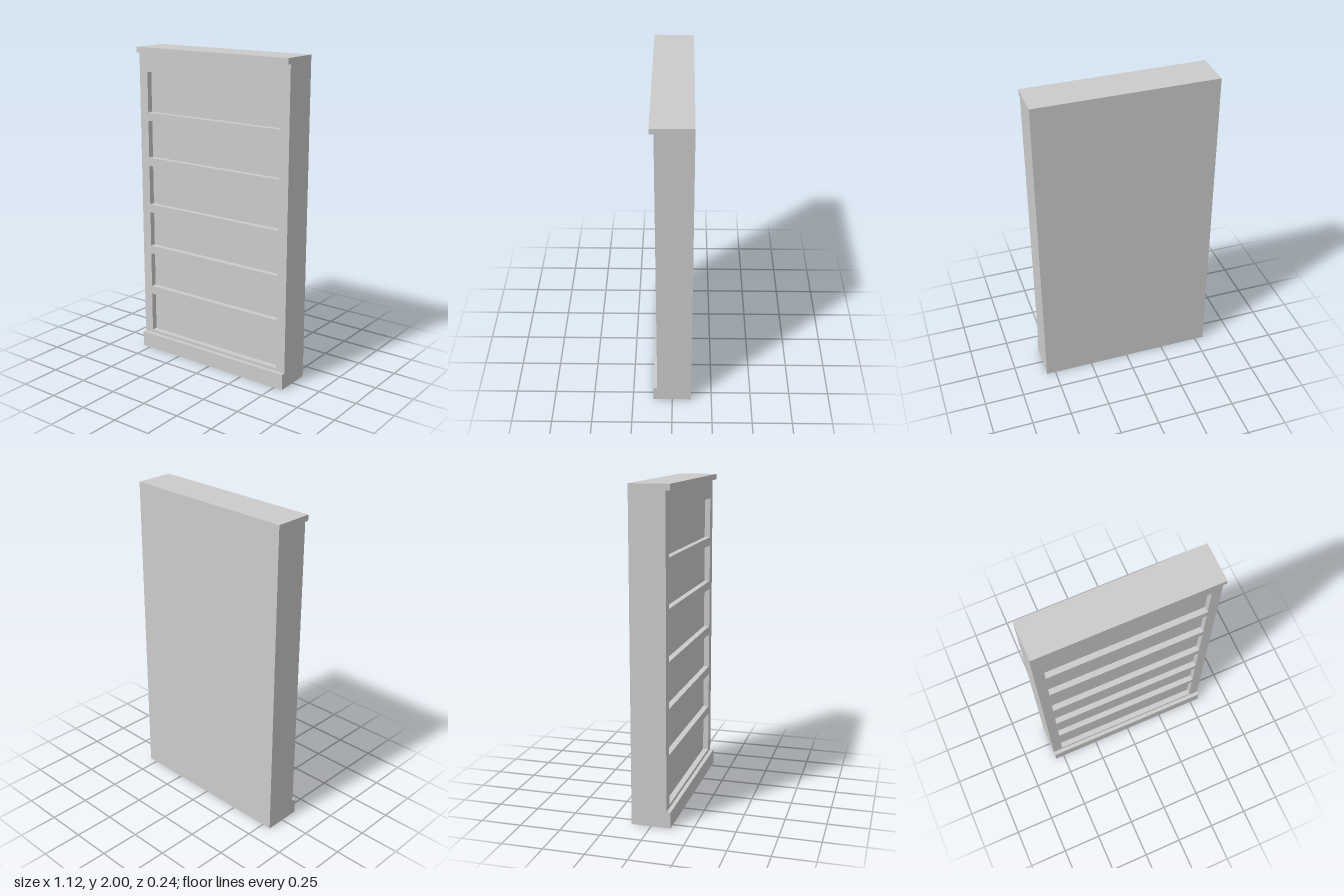
import * as THREE from 'three';

const WIDTH = 1.115, BACK = -0.12, FACE = 0.095, LIP = 0.12;
const PLINTH_TOP = 0.1, CAP_BOTTOM = 1.965, HEIGHT = 2;
const RECESS = 0.036;          // depth of the shelf openings
const OPENING_HALF = 0.495;
// bottom and top of each opening
const OPENINGS = [
  [0.119, 0.379], [0.432, 0.66], [0.714, 0.94],
  [0.994, 1.248], [1.302, 1.54], [1.593, 1.847],
];

export function createModel() {
  const model = new THREE.Group();
  model.name = 'bookcase';
  const material = new THREE.MeshStandardMaterial({ color: 0xcccccc });

  const add = (name, geometry) => {
    const mesh = new THREE.Mesh(geometry, material);
    mesh.name = name;
    model.add(mesh);
  };
  // full-width block between two heights and two depths
  const block = (name, y0, y1, z0, z1) => add(name,
    new THREE.BoxGeometry(WIDTH, y1 - y0, z1 - z0)
      .translate(0, (y0 + y1) / 2, (z0 + z1) / 2));
  const trace = (path, half, y0, y1) => {
    path.moveTo(-half, y0);
    path.lineTo(half, y0);
    path.lineTo(half, y1);
    path.lineTo(-half, y1);
    path.closePath();
    return path;
  };

  block('plinth', 0, PLINTH_TOP, BACK, LIP);
  block('topCap', CAP_BOTTOM, HEIGHT, BACK, LIP);
  block('backBody', PLINTH_TOP, CAP_BOTTOM, BACK, FACE - RECESS);

  // stiles and shelves in one piece, flush at the front
  const frame = trace(new THREE.Shape(), WIDTH / 2, PLINTH_TOP, CAP_BOTTOM);
  for (const [y0, y1] of OPENINGS) {
    frame.holes.push(trace(new THREE.Path(), OPENING_HALF, y0, y1));
  }
  add('shelfFrame', new THREE.ExtrudeGeometry(frame, { depth: RECESS, bevelEnabled: false })
    .translate(0, 0, FACE - RECESS));

  return model;
}
